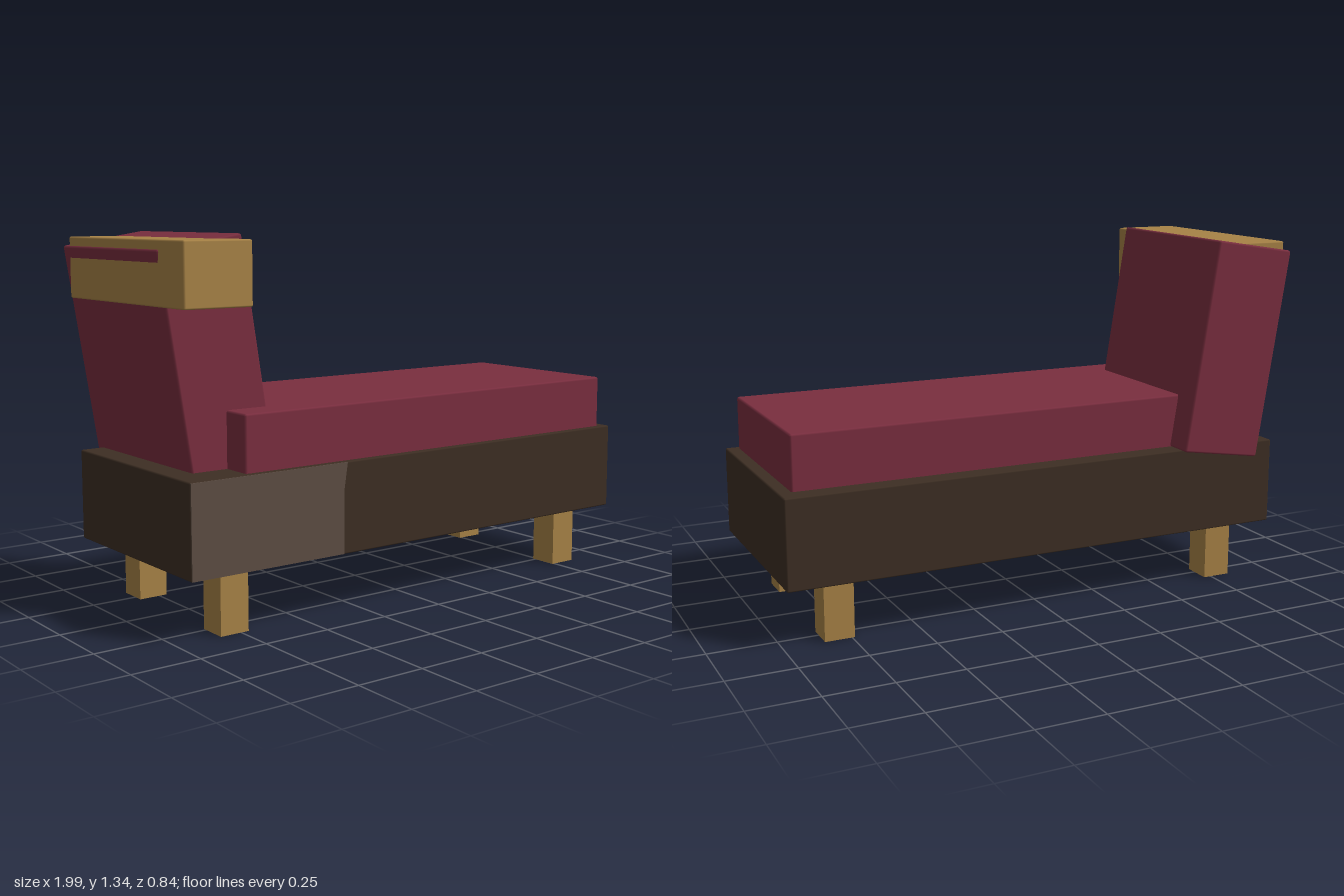
import * as THREE from 'three';
import { RoundedBoxGeometry } from 'three/addons/geometries/RoundedBoxGeometry.js';

const material = (name, color) => {
  const m = new THREE.MeshStandardMaterial({ color });
  m.name = name;
  return m;
};

// Box given by its min and max corners, with a small bevel if asked
function box(name, mat, [x0, y0, z0], [x1, y1, z1], bevel = 0) {
  const size = [x1 - x0, y1 - y0, z1 - z0];
  const geometry = bevel
    ? new RoundedBoxGeometry(...size, 1, bevel)
    : new THREE.BoxGeometry(...size);
  const mesh = new THREE.Mesh(geometry, mat);
  mesh.name = name;
  mesh.position.set((x0 + x1) / 2, (y0 + y1) / 2, (z0 + z1) / 2);
  return mesh;
}

export function createModel() {
  const group = new THREE.Group();
  group.name = 'daybed';
  const fabric = material('burgundy fabric', 0x7a2e3f);
  const darkWood = material('dark wood', 0x3d2e23);
  const paleWood = material('faded dark wood', 0x5c4d43);
  const oak = material('oak', 0xa78246);

  // Base and seat cushion
  group.add(box('base', darkWood, [-0.97, 0.22, -0.38], [0.995, 0.55, 0.4], 0.006));
  group.add(box('seatCushion', fabric, [-0.745, 0.53, -0.31], [0.948, 0.75, 0.38], 0.008));

  // Faded panel on the front of the base
  const outline = new THREE.Shape([
    [-0.968, 0.222], [-0.353, 0.222], [-0.353, 0.45], [-0.338, 0.548], [-0.968, 0.548],
  ].map(([x, y]) => new THREE.Vector2(x, y)));
  const panel = new THREE.Mesh(
    new THREE.ExtrudeGeometry(outline, { depth: 0.004, bevelEnabled: false }), paleWood);
  panel.name = 'frontPanel';
  panel.position.z = 0.398;
  group.add(panel);

  // Backrest leaning outwards
  const backrest = box('backrest', fabric, [-0.938, 0.52, -0.42], [-0.612, 1.32, 0.265], 0.008);
  backrest.rotation.z = THREE.MathUtils.degToRad(9);
  group.add(backrest);

  // Wooden bar across the top of the backrest
  group.add(box('topBar', oak, [-0.992, 1.105, -0.38], [-0.735, 1.323, 0.422], 0.006));

  // Legs
  for (const x of [-0.775, 0.795])
    for (const z of [-0.267, 0.293])
      group.add(box('leg', oak, [x - 0.055, 0, z - 0.055], [x + 0.055, 0.23, z + 0.055]));

  return group;
}
